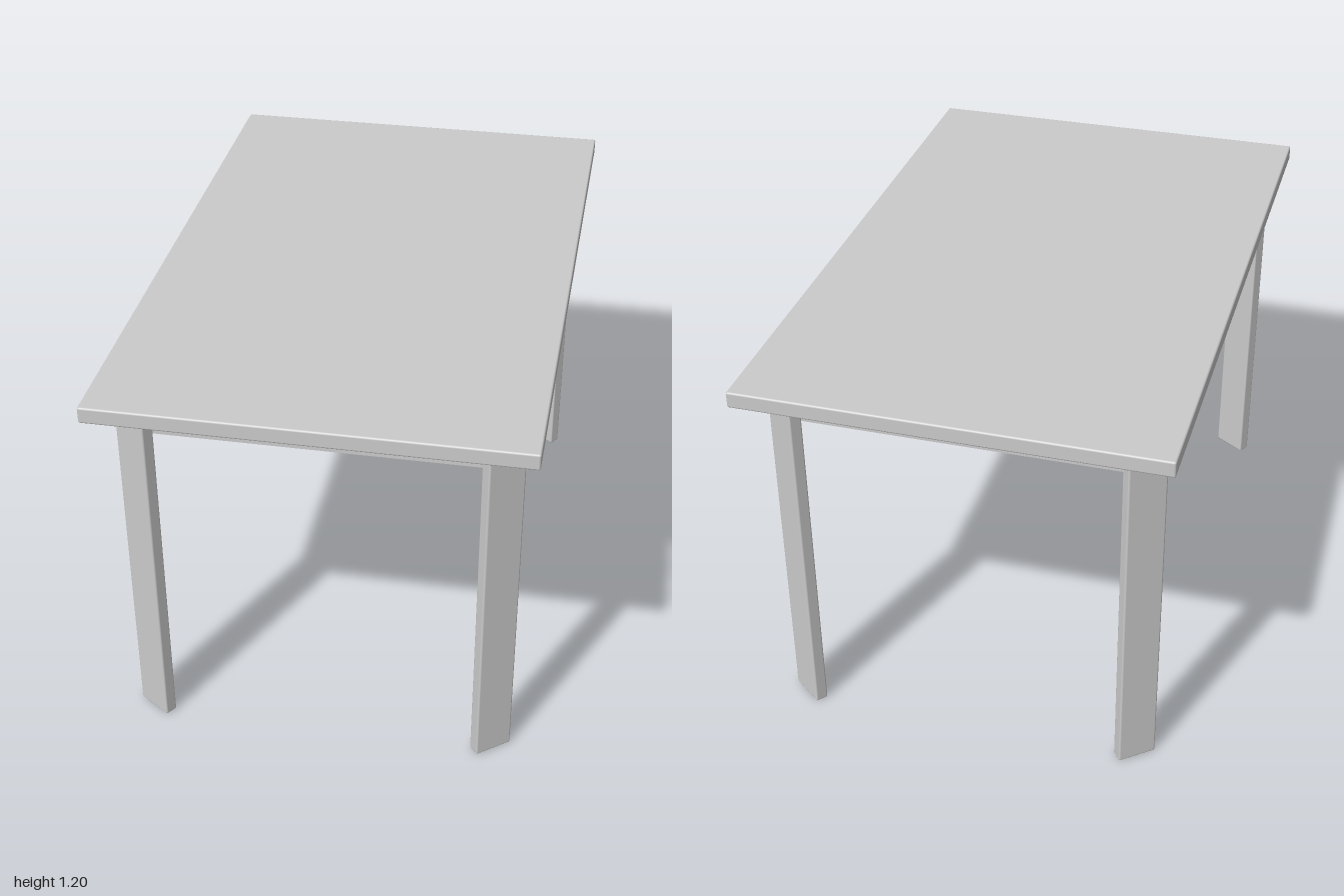
import * as THREE from 'three';
import { RoundedBoxGeometry } from 'three/addons/geometries/RoundedBoxGeometry.js';

const TOP_Y = 1.195, UNDER_Y = 1.145, APRON_Y = 1.045;

export function createModel() {
  const table = new THREE.Group();
  table.name = 'table';
  const material = new THREE.MeshStandardMaterial({ color: 0xcccccc });

  const add = (name, geometry, x, y, z, turn = 0) => {
    const mesh = new THREE.Mesh(geometry, material);
    mesh.name = name;
    mesh.position.set(x, y, z);
    mesh.rotation.y = THREE.MathUtils.degToRad(turn);
    table.add(mesh);
  };

  // Slab top with slightly eased edges
  add('tableTop', new RoundedBoxGeometry(1.264, TOP_Y - UNDER_Y, 2, 2, 0.006),
    0, (TOP_Y + UNDER_Y) / 2, 0);

  // Apron rails, ending inside the legs
  const railHeight = UNDER_Y - APRON_Y, railY = (UNDER_Y + APRON_Y) / 2;
  const sideRail = new THREE.BoxGeometry(0.03, railHeight, 1.68);
  const endRail = new THREE.BoxGeometry(1.04, railHeight, 0.03);
  for (const s of [1, -1]) {
    add(s > 0 ? 'leftSideRail' : 'rightSideRail', sideRail, s * 0.535, railY, 0);
    add(s > 0 ? 'frontRail' : 'backRail', endRail, 0, railY, s * 0.855);
  }

  // Plank legs set diagonally across the corners
  const leg = new RoundedBoxGeometry(0.121, UNDER_Y, 0.04, 2, 0.006);
  for (const sx of [1, -1]) {
    for (const sz of [1, -1]) {
      const name = (sz > 0 ? 'front' : 'back') + (sx > 0 ? 'Left' : 'Right') + 'Leg';
      const turn = name === 'frontRightLeg' ? 34 : 38;
      add(name, leg, sx * 0.525, UNDER_Y / 2, sz > 0 ? 0.853 : -0.861, sx * sz * turn);
    }
  }
  return table;
}
